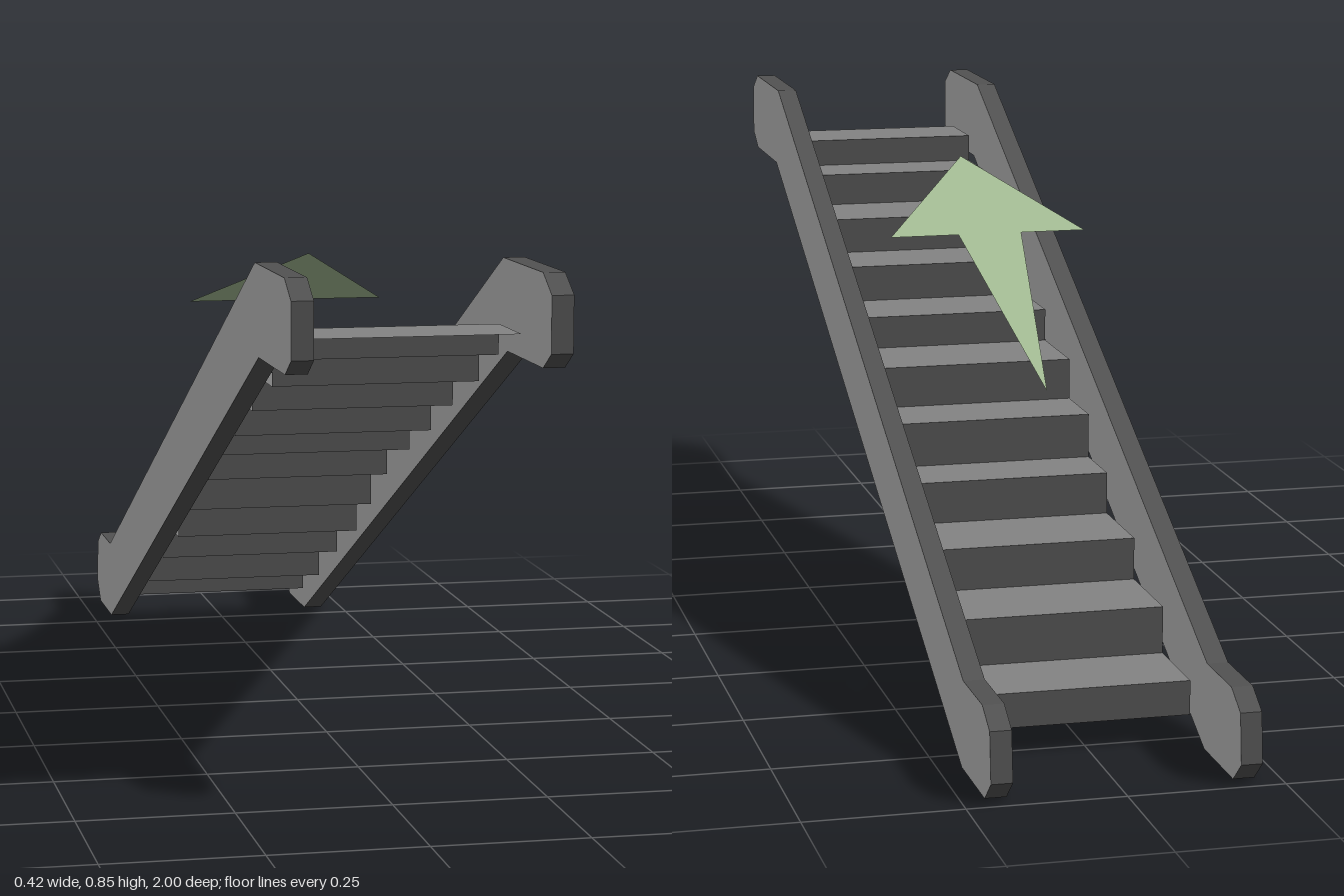
import * as THREE from 'three';

const grey = new THREE.MeshStandardMaterial({ color: 0xcccccc, flatShading: true });
const darkTrim = new THREE.MeshStandardMaterial({ color: 0x525252, flatShading: true });
const darkRiser = new THREE.MeshStandardMaterial({ color: 0x525252, flatShading: true, side: THREE.DoubleSide });
const midTread = new THREE.MeshStandardMaterial({ color: 0x838383, flatShading: true, side: THREE.DoubleSide });
const green = new THREE.MeshStandardMaterial({ color: 0xa4bc94, flatShading: true, side: THREE.DoubleSide });

const shapeOf = (points) => new THREE.Shape(points.map(([a, b]) => new THREE.Vector2(a, b)));

function addMesh(parent, name, geometry, material) {
  const mesh = new THREE.Mesh(geometry, material);
  mesh.name = name;
  parent.add(mesh);
  return mesh;
}

// Sloping balustrade, outlined in (z, y) and extruded across x
function balustradeGeometry(thickness) {
  const outline = shapeOf([
    [-0.81, 0], [0.75, 0.709], [0.955, 0.709], [1, 0.735], [1, 0.822], [0.95, 0.851],
    [0.72, 0.851], [-0.82, 0.142], [-0.945, 0.142], [-0.992, 0.115], [-1, 0.035], [-0.96, 0],
  ]);
  const geometry = new THREE.ExtrudeGeometry(outline, { depth: thickness, bevelEnabled: false });
  geometry.rotateY(-Math.PI / 2);
  geometry.translate(thickness / 2, 0, 0);
  return geometry;
}

// Flat panel across x, from edge (ya, za) to edge (yb, zb)
function panelGeometry(x0, x1, ya, za, yb, zb) {
  const geometry = new THREE.BufferGeometry();
  geometry.setAttribute('position', new THREE.Float32BufferAttribute([
    x0, ya, za, x1, yb, zb, x1, ya, za,
    x0, ya, za, x0, yb, zb, x1, yb, zb,
  ], 3));
  geometry.computeVertexNormals();
  return geometry;
}

// Folded stairs: a dark riser and a lighter tread per step
function createSteps(x0, x1) {
  const zs = [-0.775, -0.62, -0.45, -0.28, -0.16, -0.03, 0.14, 0.295, 0.445, 0.615, 0.735, 0.87];
  const ys = [0.046, 0.102, 0.179, 0.249, 0.319, 0.394, 0.464, 0.52, 0.583, 0.645, 0.702, 0.75];
  const steps = new THREE.Group();
  steps.name = 'steps';
  for (let i = 0; i < 11; i++) {
    addMesh(steps, 'riser', panelGeometry(x0, x1, ys[i], zs[i], ys[i + 1], zs[i]), darkRiser);
    addMesh(steps, 'tread', panelGeometry(x0, x1, ys[i + 1], zs[i], ys[i + 1], zs[i + 1]), midTread);
  }
  return steps;
}

// Flat arrow, drawn in plan as (x, -z) and tilted to the slope of the stairs
function arrowGeometry() {
  const geometry = new THREE.ShapeGeometry(shapeOf([
    [-0.007, -0.13], [0.165, 0.085], [0.047, 0.085], [-0.006, 0.485], [-0.063, 0.085], [-0.175, 0.085],
  ]));
  geometry.rotateX(-Math.PI / 2);
  const p = geometry.attributes.position;
  for (let i = 0; i < p.count; i++) p.setY(i, 0.743 + 0.475 * p.getZ(i));
  geometry.computeVertexNormals();
  return geometry;
}

export function createModel() {
  const model = new THREE.Group();
  model.name = 'escalator';

  // Light side faces with a dark rim all round
  const rail = balustradeGeometry(0.034);
  for (const [name, side] of [['leftBalustrade', 1], ['rightBalustrade', -1]]) {
    addMesh(model, name, rail, [grey, darkTrim]).position.x = side * 0.195;
  }
  model.add(createSteps(-0.165, 0.168));
  addMesh(model, 'directionArrow', arrowGeometry(), green);
  return model;
}
